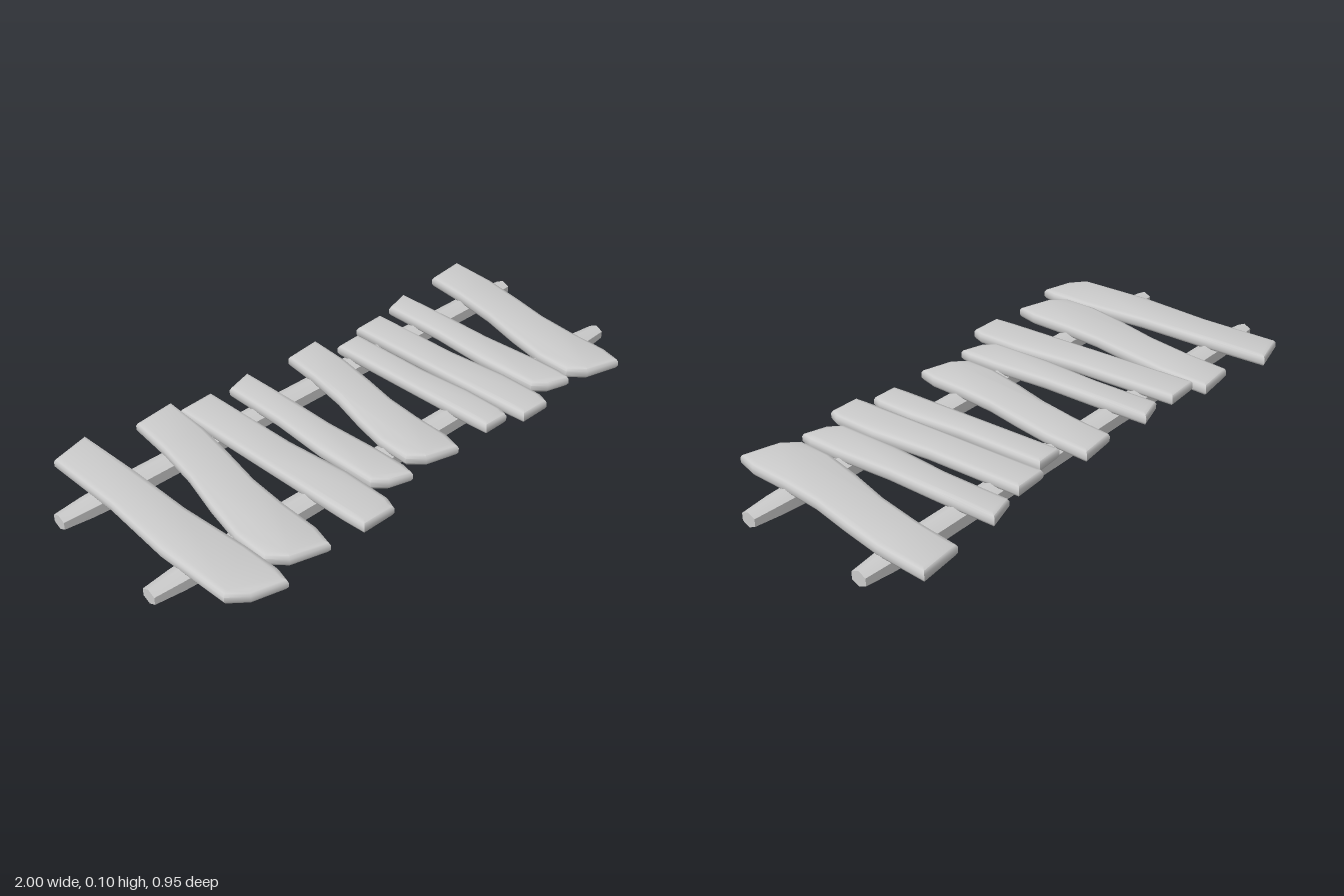
import * as THREE from 'three';
import { toCreasedNormals } from 'three/addons/utils/BufferGeometryUtils.js';

const material = new THREE.MeshStandardMaterial({ color: 0xcccccc });

// Plank outlines as [across, back to front], each from 0 to 1
const OUTLINES = {
  bowed: [[0.07, 0.04], [0.8, 0], [0.86, 0.28], [0.87, 0.53], [0.98, 0.8], [1, 0.94], [0.93, 1],
    [0.35, 0.97], [0.06, 0.92], [0, 0.63], [0.09, 0.35]],
  bent: [[0.44, 0.02], [1, 0], [0.97, 0.22], [0.88, 0.4], [0.78, 0.57], [0.74, 0.74], [0.73, 0.91], [0.66, 1],
    [0.2, 0.96], [0.02, 0.9], [0.02, 0.75], [0.13, 0.58], [0.28, 0.4], [0.38, 0.21]],
  straight: [[0, 0.01], [0.77, 0], [0.85, 0.46], [1, 0.74], [1, 0.95], [0.91, 1],
    [0.2, 1], [0.16, 0.9], [0.08, 0.46]],
};

// Each plank: outline, left x, right x, back z, front z
const PLANKS = [
  ['bowed', -0.895, -0.7, -0.477, 0.473],
  ['bent', -0.705, -0.43, -0.435, 0.44],
  ['straight', -0.435, -0.26, -0.388, 0.45],
  ['bowed', -0.25, -0.11, -0.395, 0.375],
  ['bent', -0.085, 0.165, -0.385, 0.38],
  ['straight', 0.195, 0.33, -0.31, 0.37],
  ['straight', 0.325, 0.485, -0.35, 0.412],
  ['bowed', 0.5, 0.64, -0.395, 0.375],
  ['bent', 0.655, 0.93, -0.42, 0.425],
];

// A flat board with rounded rims, lying between y = 0.062 and y = 0.105
function plank([kind, x0, x1, z0, z1]) {
  const shape = new THREE.Shape(OUTLINES[kind].map(([u, v]) =>
    new THREE.Vector2(x0 + (x1 - x0) * u, -(z0 + (z1 - z0) * v))));
  const rim = 0.013;
  const geometry = new THREE.ExtrudeGeometry(shape, {
    depth: 0.043 - 2 * rim, bevelThickness: rim, bevelSize: 0.018, bevelOffset: -0.018, bevelSegments: 2,
  });
  geometry.rotateX(-Math.PI / 2).translate(0, 0.062 + rim, 0);
  return new THREE.Mesh(toCreasedNormals(geometry, 0.8), material);
}

// A six-sided pole along x with tapered ends
function rail(y, z) {
  const profile = [[0, -1], [0.031, -1], [0.041, -0.9], [0.0457, -0.8],
    [0.0457, 0.8], [0.041, 0.9], [0.031, 1], [0, 1]].map(([r, h]) => new THREE.Vector2(r, h));
  const geometry = new THREE.LatheGeometry(profile, 6, Math.PI / 2);
  geometry.rotateZ(Math.PI / 2).scale(1, 0.84, 1).translate(0, y, z);
  return new THREE.Mesh(toCreasedNormals(geometry, 1.1), material);
}

export function createModel() {
  const model = new THREE.Group();
  model.name = 'plankWalkway';

  // Two supporting rails
  const frontRail = rail(0.0415, 0.205);
  frontRail.name = 'frontRail';
  const backRail = rail(0.0385, -0.242);
  backRail.name = 'backRail';
  model.add(frontRail, backRail);

  // Crooked planks laid across the rails
  PLANKS.forEach((spec, i) => {
    const board = plank(spec);
    board.name = `plank${i + 1}`;
    model.add(board);
  });
  return model;
}
